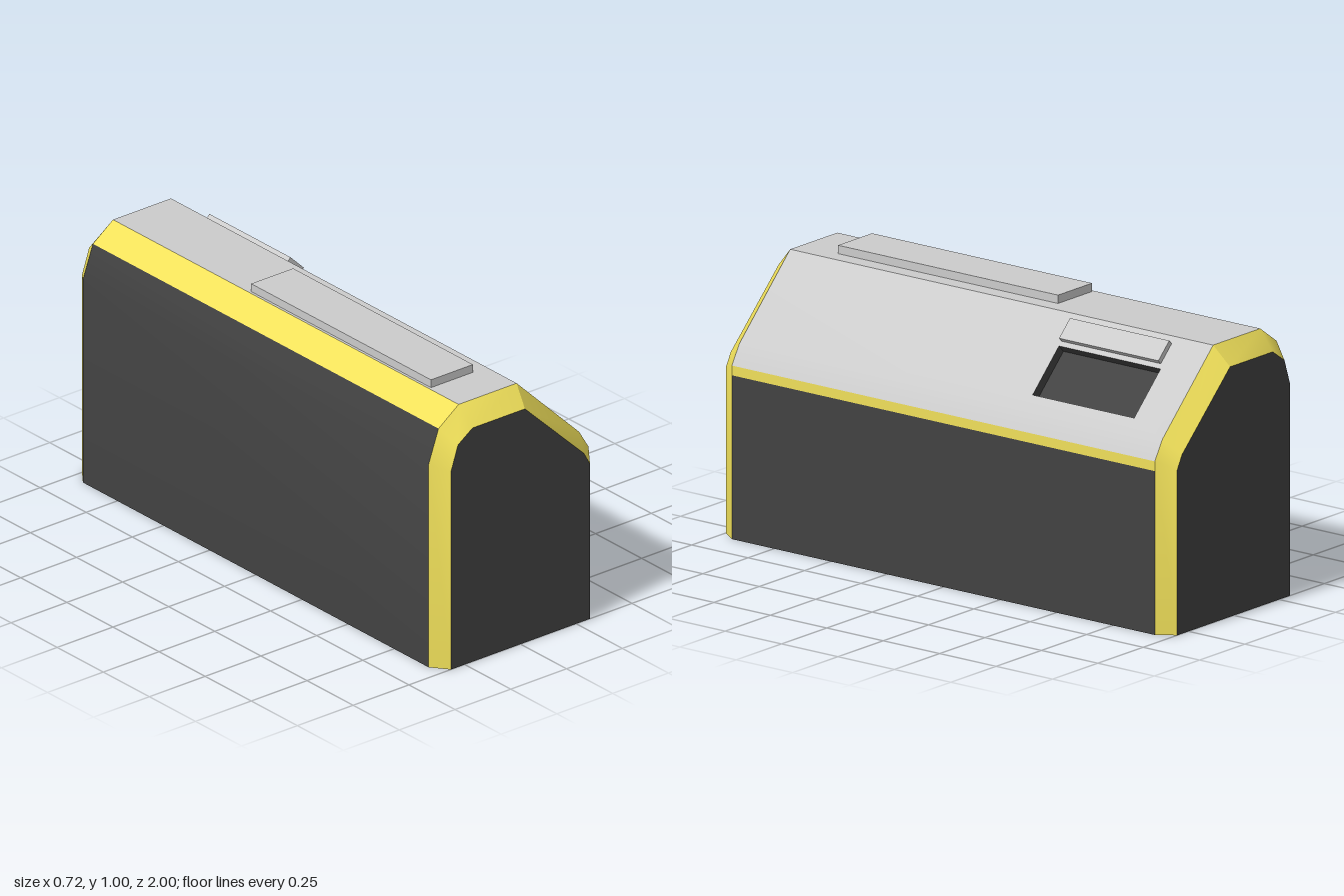
import * as THREE from 'three';
import { mergeGeometries, toCreasedNormals } from 'three/addons/utils/BufferGeometryUtils.js';

const mat = (color) => new THREE.MeshStandardMaterial({ color, roughness: 0.8 });
const grey = mat(0xcccccc), yellow = mat(0xf0e05a), dark = mat(0x424242);

// Cross-section from bottom left, over the roof, to bottom right
const outer = [[-0.36, 0], [-0.36, 0.78], [-0.315, 0.905], [-0.225, 0.97],
  [0.035, 0.97], [0.315, 0.695], [0.357, 0.625], [0.357, 0]];
const inner = [[-0.312, 0], [-0.312, 0.76], [-0.28, 0.855], [-0.215, 0.9],
  [0.02, 0.9], [0.285, 0.645], [0.312, 0.595], [0.312, 0]];
const Z = 0.937, END = 1;

// Skin between two matching profiles at two depths
function loft(front, zFront, back, zBack) {
  const pos = [];
  for (let i = 0; i < front.length - 1; i++) {
    const a = [...front[i], zFront], b = [...front[i + 1], zFront];
    const c = [...back[i + 1], zBack], d = [...back[i], zBack];
    pos.push(...a, ...b, ...c, ...a, ...c, ...d);
  }
  const g = new THREE.BufferGeometry();
  g.setAttribute('position', new THREE.Float32BufferAttribute(pos, 3));
  g.computeVertexNormals();
  return g;
}
const band = (points) => loft(points, Z, points, -Z);
const toShape = (points) => new THREE.Shape(points.map(([x, y]) => new THREE.Vector2(x, y)));
const rect = (x0, y0, x1, y1) => [[x0, y0], [x1, y0], [x1, y1], [x0, y1]];

function crease(...geos) {
  const plain = geos.map((g) => {
    const p = g.index ? g.toNonIndexed() : g;
    p.deleteAttribute('uv');
    return p;
  });
  return toCreasedNormals(mergeGeometries(plain), 0.5);
}

export function createModel() {
  const model = new THREE.Group();
  const add = (name, geometry, material, parent = model) => {
    const mesh = new THREE.Mesh(geometry, material);
    mesh.name = name;
    parent.add(mesh);
    return mesh;
  };

  // Long side walls and yellow trim bands
  const wallTop = [0.357, 0.59];
  add('leftHandWall', crease(band(outer.slice(0, 3))), dark);
  add('roofTrim', band(outer.slice(2, 4)), yellow);
  add('sideTrim', band([outer[6], wallTop]), yellow);
  add('rightHandWall', band([wallTop, outer[7]]), dark);

  // Chamfered end frames and flat end panels
  add('frontFrame', crease(loft(inner, END, outer, Z)), yellow);
  add('backFrame', crease(loft(outer, -Z, inner, -END)), yellow);
  add('frontPanel', new THREE.ShapeGeometry(toShape(inner)).translate(0, 0, END), dark);
  const mirrored = inner.map(([x, y]) => [-x, y]);
  add('backPanel', new THREE.ShapeGeometry(toShape(mirrored)).rotateY(Math.PI).translate(0, 0, -END), dark);

  // Underside
  const base = [[-0.36, -Z], [-0.312, -END], [0.312, -END], [0.357, -Z],
    [0.357, Z], [0.312, END], [-0.312, END], [-0.36, Z]];
  add('underside', new THREE.ShapeGeometry(toShape(base)).rotateX(Math.PI / 2), dark);

  // Roof: flat top, then the slope with a cut-out and its lower bevel
  const [px, py] = outer[4], [qx, qy] = outer[5];
  const length = Math.hypot(qx - px, qy - py), tilt = Math.atan2(qy - py, qx - px);
  const s0 = 0.133, s1 = 0.337, z0 = -0.78, z1 = -0.33, depth = 0.035;
  add('flatRoof', band(outer.slice(3, 5)), grey);
  const slope = toShape(rect(0, -Z, length, Z));
  slope.holes.push(toShape(rect(s0, -z1, s1, -z0)));
  const slopeGeo = new THREE.ShapeGeometry(slope).rotateX(-Math.PI / 2).rotateZ(tilt).translate(px, py, 0);
  add('slopedRoof', crease(slopeGeo, band(outer.slice(5, 7))), grey);

  // Recess and raised flap, laid out in the plane of the slope
  const slopeParts = new THREE.Group();
  slopeParts.name = 'slopeFittings';
  slopeParts.position.set(px, py, 0);
  slopeParts.rotation.z = tilt;
  model.add(slopeParts);
  const tray = [[s0, 0], [s0, -depth], [s1, -depth], [s1, 0]];
  add('recessTray', loft(tray, z1, tray, z0), dark, slopeParts);
  for (const [z, turn] of [[z0, 0], [z1, Math.PI]]) {
    const end = new THREE.PlaneGeometry(s1 - s0, depth).rotateY(turn);
    add('recessEnd', end.translate((s0 + s1) / 2, -depth / 2, z), dark, slopeParts);
  }
  add('flap', new THREE.BoxGeometry(0.084, 0.03, 0.44), grey, slopeParts).position.set(0.071, 0.004, -0.55);

  // Long raised hatch on the flat roof
  add('roofHatch', new THREE.BoxGeometry(0.188, 0.04, 0.975), grey).position.set(-0.121, 0.98, 0.2875);
  return model;
}
